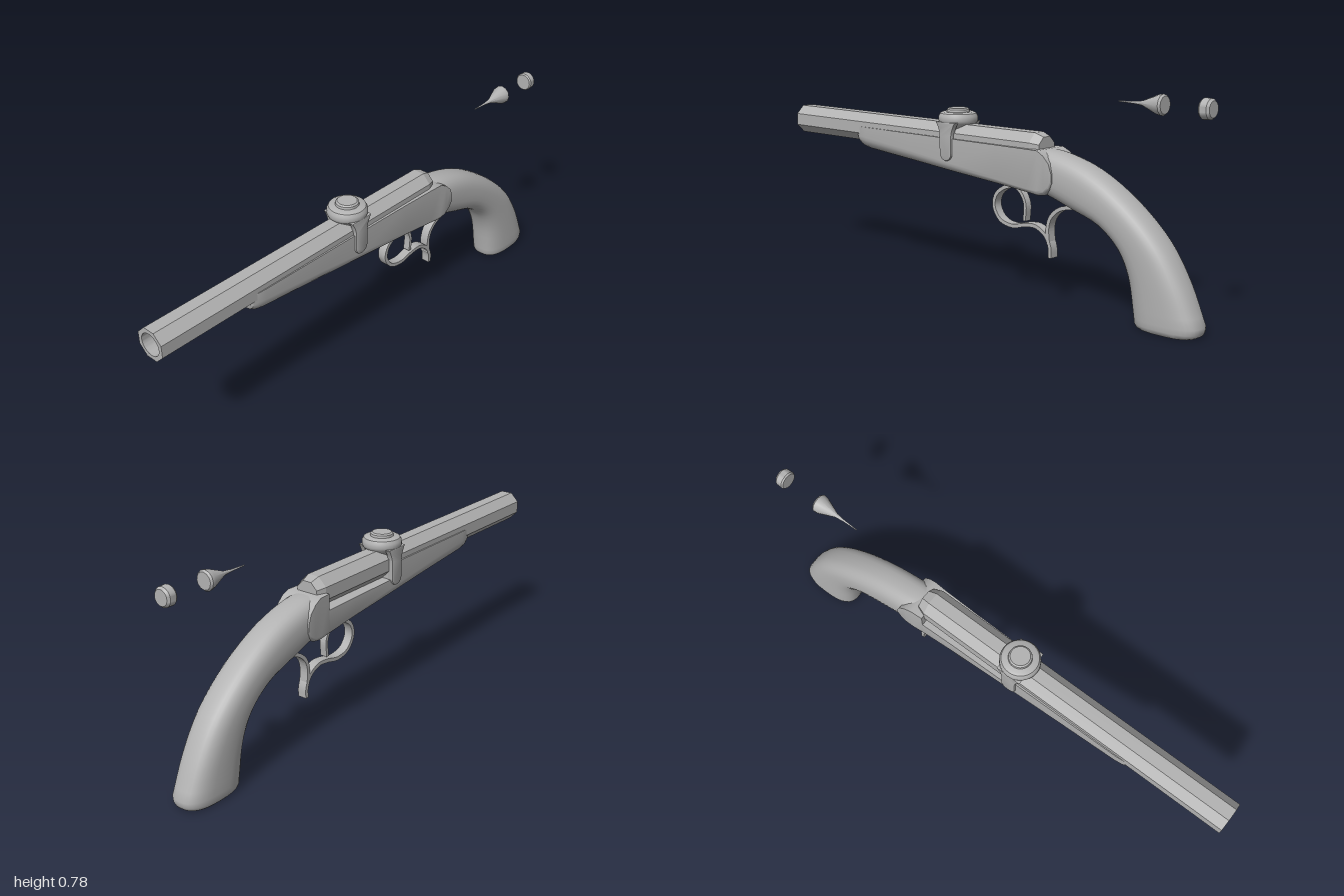
import * as THREE from 'three';
import { toCreasedNormals } from 'three/addons/utils/BufferGeometryUtils.js';

const V3 = (x, y, z) => new THREE.Vector3(x, y, z);
const V2 = (p) => new THREE.Vector2(p[0], p[1]);

// Skin rings of points (counter-clockwise seen from the front, running front to back)
function loft(rings, crease = 0.6) {
  const pos = [], n = rings[0].length;
  const tri = (...ps) => ps.forEach((p) => pos.push(p.x, p.y, p.z));
  for (let j = 0; j < rings.length - 1; j++) {
    for (let i = 0; i < n; i++) {
      const k = (i + 1) % n;
      const a = rings[j][i], b = rings[j][k], c = rings[j + 1][k], d = rings[j + 1][i];
      tri(a, d, c);
      tri(a, c, b);
    }
  }
  const cap = (ring, front) => {
    const m = ring.reduce((s, p) => s.add(p), V3(0, 0, 0)).divideScalar(n);
    for (let i = 0; i < n; i++) {
      const a = ring[i], b = ring[(i + 1) % n];
      front ? tri(m, a, b) : tri(m, b, a);
    }
  };
  cap(rings[0], true);
  cap(rings[rings.length - 1], false);
  const g = new THREE.BufferGeometry();
  g.setAttribute('position', new THREE.Float32BufferAttribute(pos, 3));
  return toCreasedNormals(g, crease);
}

// Flat strip following [z, y] points
function ribbon(points, halfWidth, thickness) {
  const curve = new THREE.CatmullRomCurve3(points.map(([z, y]) => V3(0, y, z)));
  const rings = [], steps = 40, h = thickness / 2;
  for (let i = 0; i <= steps; i++) {
    const p = curve.getPoint(i / steps), t = curve.getTangent(i / steps);
    rings.push([[1, 1], [-1, 1], [-1, -1], [1, -1]].map(([sx, sn]) =>
      V3(sx * halfWidth, p.y - sn * h * t.z, p.z + sn * h * t.y)));
  }
  return loft(rings);
}

const lathe = (profile, sides) => toCreasedNormals(new THREE.LatheGeometry(profile.map(V2), sides), 0.6);

// Grip: rounded section swept between an upper and a lower edge
function gripGeometry() {
  const edge = (pts) => new THREE.CatmullRomCurve3(pts.map(([z, y]) => V3(0, y, z)));
  const top = edge([[-0.31, 0.555], [-0.4, 0.55], [-0.555, 0.505], [-0.715, 0.41], [-0.85, 0.286], [-0.93, 0.163], [-0.988, 0.035]]);
  const low = edge([[-0.31, 0.405], [-0.38, 0.388], [-0.473, 0.357], [-0.59, 0.318], [-0.67, 0.254], [-0.714, 0.168], [-0.738, 0.035]]);
  const rings = [], sides = 32;
  const ring = (a, b, scale, drop) => {
    const c = a.clone().add(b).multiplyScalar(0.5), n = a.clone().sub(c), pts = [];
    for (let i = 0; i < sides; i++) {
      const t = (i / sides) * Math.PI * 2;
      const sq = (v) => Math.sign(v) * Math.pow(Math.abs(v), 2 / 2.7) * scale;
      pts.push(V3(0.071 * sq(Math.cos(t)), c.y - drop, c.z).addScaledVector(n, sq(Math.sin(t))));
    }
    rings.push(pts);
  };
  for (let i = 0; i <= 24; i++) ring(top.getPoint(i / 24), low.getPoint(i / 24), 1, 0);
  const a = top.getPoint(1), b = low.getPoint(1);
  ring(a, b, 0.985, 0.018);
  ring(a, b, 0.94, 0.029);
  ring(a, b, 0.86, 0.035);
  return loft(rings, 0.8);
}

// Stock: U-shaped sections; each row is z, left top, right top, bottom, half width, corner radius
function stockGeometry() {
  const T = 0.555;
  const rows = [
    [0.618, 0.54, 0.54, 0.505, 0.045, 0.015],
    [0.612, T, T, 0.485, 0.052, 0.035],
    [0.595, T, T, 0.472, 0.057, 0.045],
    [0.56, T, T, 0.464, 0.06, 0.05],
    [0.3, T, T, 0.443, 0.062, 0.045],
    [0.07, T, T, 0.425, 0.064, 0.036],
    [0.07, T, 0.495, 0.425, 0.064, 0.036],
    [-0.15, T, 0.495, 0.41, 0.067, 0.028],
    [-0.3, T, 0.495, 0.398, 0.071, 0.022],
    [-0.3, T, T, 0.398, 0.071, 0.022],
    [-0.35, T, T, 0.394, 0.074, 0.02],
    [-0.38, 0.54, 0.54, 0.4, 0.076, 0.02],
    [-0.405, 0.515, 0.515, 0.42, 0.077, 0.02],
    [-0.418, 0.48, 0.48, 0.445, 0.077, 0.015],
  ];
  return loft(rows.map(([z, left, right, bottom, w, r]) => {
    const pts = [V3(w, left, z), V3(0, left, z), V3(0, right, z), V3(-w, right, z)];
    for (const side of [-1, 1]) {
      for (let i = 0; i <= 6; i++) {
        const t = ((side < 0 ? i : 6 - i) / 6) * Math.PI / 2;
        pts.push(V3(side * (w - r + r * Math.cos(t)), bottom + r - r * Math.sin(t), z));
      }
    }
    return pts;
  }), 0.5);
}

export function createModel() {
  const model = new THREE.Group();
  const grey = new THREE.MeshStandardMaterial({ color: 0xb2b2b2 });
  grey.name = 'grey';
  const add = (name, geometry, x = 0, y = 0, z = 0) => {
    const mesh = new THREE.Mesh(geometry, grey);
    mesh.name = name;
    mesh.position.set(x, y, z);
    model.add(mesh);
    return mesh;
  };

  // Octagonal barrel with a round bore
  const R = 0.0612, barrelY = 0.552;
  const octagon = new THREE.Shape(Array.from({ length: 8 }, (_, i) => {
    const t = Math.PI / 8 + (i * Math.PI) / 4;
    return new THREE.Vector2(R * Math.cos(t), R * Math.sin(t));
  }));
  octagon.holes.push(new THREE.Path().absarc(0, 0, 0.042, 0, Math.PI * 2, true));
  add('barrel', toCreasedNormals(new THREE.ExtrudeGeometry(octagon, { depth: 1.3, bevelEnabled: false, curveSegments: 24 }), 0.5), 0, barrelY, -0.3);
  const breech = new THREE.CylinderGeometry(R, 0.047, 0.035, 8).rotateY(Math.PI / 8).rotateX(Math.PI / 2);
  add('barrelBreech', toCreasedNormals(breech, 0.5), 0, barrelY, -0.3175);

  add('stock', stockGeometry());
  add('grip', gripGeometry());

  // Round cap over the barrel, with a button and two side straps
  const capZ = 0.097;
  add('cap', lathe([[0, 0.57], [0.045, 0.575], [0.054, 0.595], [0.071, 0.61], [0.075, 0.62], [0.074, 0.635],
    [0.068, 0.646], [0.058, 0.651], [0, 0.651]], 32), 0, 0, capZ);
  add('capButton', lathe([[0.044, 0.648], [0.042, 0.66], [0.036, 0.665], [0, 0.665]], 32), 0, 0, capZ);
  const strap = new THREE.Shape();
  strap.moveTo(0.05, 0.615);
  strap.quadraticCurveTo(0.03, 0.585, 0.03, 0.56);
  strap.lineTo(0.03, 0.5);
  strap.absarc(0, 0.5, 0.03, 0, -Math.PI, true);
  strap.lineTo(-0.03, 0.56);
  strap.quadraticCurveTo(-0.03, 0.585, -0.05, 0.615);
  strap.closePath();
  const strapGeometry = toCreasedNormals(new THREE.ExtrudeGeometry(strap, {
    depth: 0.014, bevelThickness: 0.004, bevelSize: 0.004, bevelOffset: -0.004, bevelSegments: 2,
  }).rotateY(-Math.PI / 2), 0.6);
  add('leftCapStrap', strapGeometry, 0.068, 0, capZ);
  add('rightCapStrap', strapGeometry, -0.054, 0, capZ);

  // Trigger and its curling guard
  add('triggerGuard', ribbon([[-0.19, 0.405], [-0.15, 0.393], [-0.112, 0.365], [-0.1, 0.32], [-0.13, 0.272],
    [-0.19, 0.256], [-0.25, 0.268], [-0.3, 0.27], [-0.345, 0.245], [-0.366, 0.205], [-0.368, 0.165]], 0.0175, 0.014));
  add('guardTail', ribbon([[-0.47, 0.362], [-0.41, 0.348], [-0.37, 0.315], [-0.356, 0.275], [-0.36, 0.215]], 0.0175, 0.014));
  add('trigger', ribbon([[-0.19, 0.408], [-0.225, 0.385], [-0.247, 0.345], [-0.245, 0.282]], 0.014, 0.012));

  // Loose spike and disc floating behind
  add('spike', lathe([[0, -0.822], [0.03, -0.822], [0.036, -0.815], [0.034, -0.8], [0.008, -0.735], [0.004, -0.7],
    [0.002, -0.64], [0, -0.64]], 12).rotateX(Math.PI / 2), 0, 0.743, 0);
  add('disc', lathe([[0, -1], [0.027, -1], [0.034, -0.992], [0.035, -0.968], [0.031, -0.962], [0, -0.962]], 24)
    .rotateX(Math.PI / 2), 0, 0.743, 0);
  return model;
}
